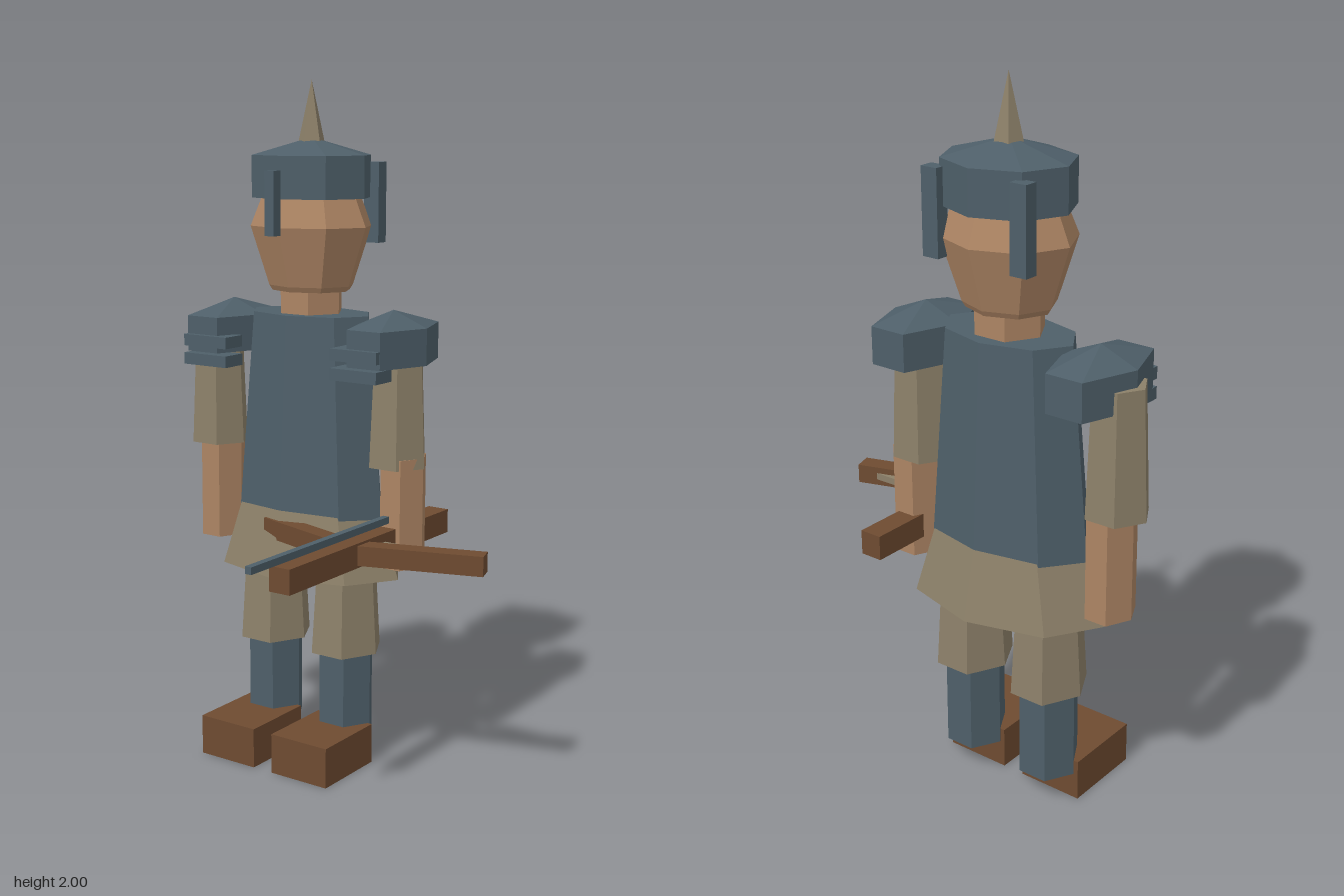
import * as THREE from 'three';

function mat(name, color) {
  const m = new THREE.MeshStandardMaterial({ color, flatShading: true });
  m.name = name;
  return m;
}

export function createModel() {
  const steel = mat('blue steel', 0x4e5f69);
  const cloth = mat('tan cloth', 0x8c8069);
  const skin = mat('skin', 0xac8463);
  const wood = mat('brown wood and leather', 0x6e4b31);

  const group = new THREE.Group();
  const CX = -0.12, CZ = -0.245; // axis of the body

  function add(name, geometry, material, x, y, z) {
    const mesh = new THREE.Mesh(geometry, material);
    mesh.name = name;
    mesh.position.set(x, y, z);
    group.add(mesh);
    return mesh;
  }
  function box(name, material, w, h, d, x, y, z) {
    return add(name, new THREE.BoxGeometry(w, h, d), material, x, y, z);
  }
  // Closed faceted solid from [radius, height] rings; depth scales z
  function faceted(name, material, rings, sides, x, depth = 1, z = CZ) {
    const pts = rings.map(([r, y]) => new THREE.Vector2(r, y));
    pts.unshift(new THREE.Vector2(0, rings[0][1]));
    const last = rings[rings.length - 1];
    if (last[0] > 0) pts.push(new THREE.Vector2(0, last[1]));
    const geo = new THREE.LatheGeometry(pts, sides, sides === 6 ? Math.PI / 2 : 0);
    geo.scale(1, 1, depth);
    return add(name, geo, material, x, 0, z);
  }

  // Head and helmet
  faceted('neck', skin, [[0.097, 1.3], [0.097, 1.43]], 6, CX);
  faceted('head', skin, [[0.12, 1.405], [0.13, 1.42], [0.187, 1.59], [0.145, 1.69]], 8, CX, 0.875);
  faceted('helmet', steel, [[0.182, 1.67], [0.182, 1.79], [0, 1.84]], 8, CX, 0.885);
  faceted('helmetSpike', cloth, [[0.043, 1.81], [0, 2.0]], 5, CX);
  box('noseGuard', steel, 0.032, 0.18, 0.032, CX, 1.66, -0.057);
  for (const side of [-1, 1])
    box('neckGuard', steel, 0.05, 0.23, 0.04, CX + side * 0.138, 1.655, -0.368);

  // Torso and skirt
  faceted('torso', steel, [[0.255, 0.71], [0.2, 1.34]], 8, CX, 0.635);
  faceted('skirt', cloth, [[0.31, 0.58], [0.24, 0.785]], 8, CX, 0.65);

  // Shoulder armour
  for (const side of [-1, 1]) {
    const x = CX + side * 0.284;
    faceted('shoulderPlate', steel, [[0.11, 1.215], [0.11, 1.32], [0, 1.365]], 6, x, 1.62);
    for (const y of [1.195, 1.25])
      box('shoulderLame', steel, 0.155, 0.034, 0.08, CX + side * 0.261, y, -0.112);
  }

  // Arms: [sleeve x, forearm x]
  for (const [sleeveX, foreX] of [[-0.462, -0.448], [0.182, 0.203]]) {
    faceted('sleeve', cloth, [[0.09, 0.92], [0.075, 1.275]], 6, sleeveX);
    faceted('forearm', skin, [[0.066, 0.63], [0.066, 0.95]], 6, foreX, 1.2);
  }

  // Legs
  for (const side of [-1, 1]) {
    const x = CX + side * 0.13;
    faceted('thigh', cloth, [[0.106, 0.34], [0.085, 0.7]], 6, x, 1.12);
    faceted('shin', steel, [[0.086, 0.08], [0.086, 0.4]], 6, x, 1.03);
    box('shoe', wood, 0.195, 0.12, 0.24, x, 0.06, -0.12);
  }

  // Crossbow
  const bowX = 0.19, bowY = 0.717;
  box('crossbowStock', wood, 0.066, 0.07, 0.8, bowX, bowY, -0.066);
  for (const side of [-1, 1]) {
    const limb = box('crossbowLimb', wood, 0.38, 0.056, 0.056,
      bowX + side * 0.177, bowY, -0.057);
    limb.rotation.y = side * 0.305;
  }
  box('bowstring', cloth, 0.7, 0.02, 0.02, bowX, bowY, -0.113);
  box('bolt', steel, 0.02, 0.02, 0.655, bowX, 0.775, 0.1385);

  return group;
}
